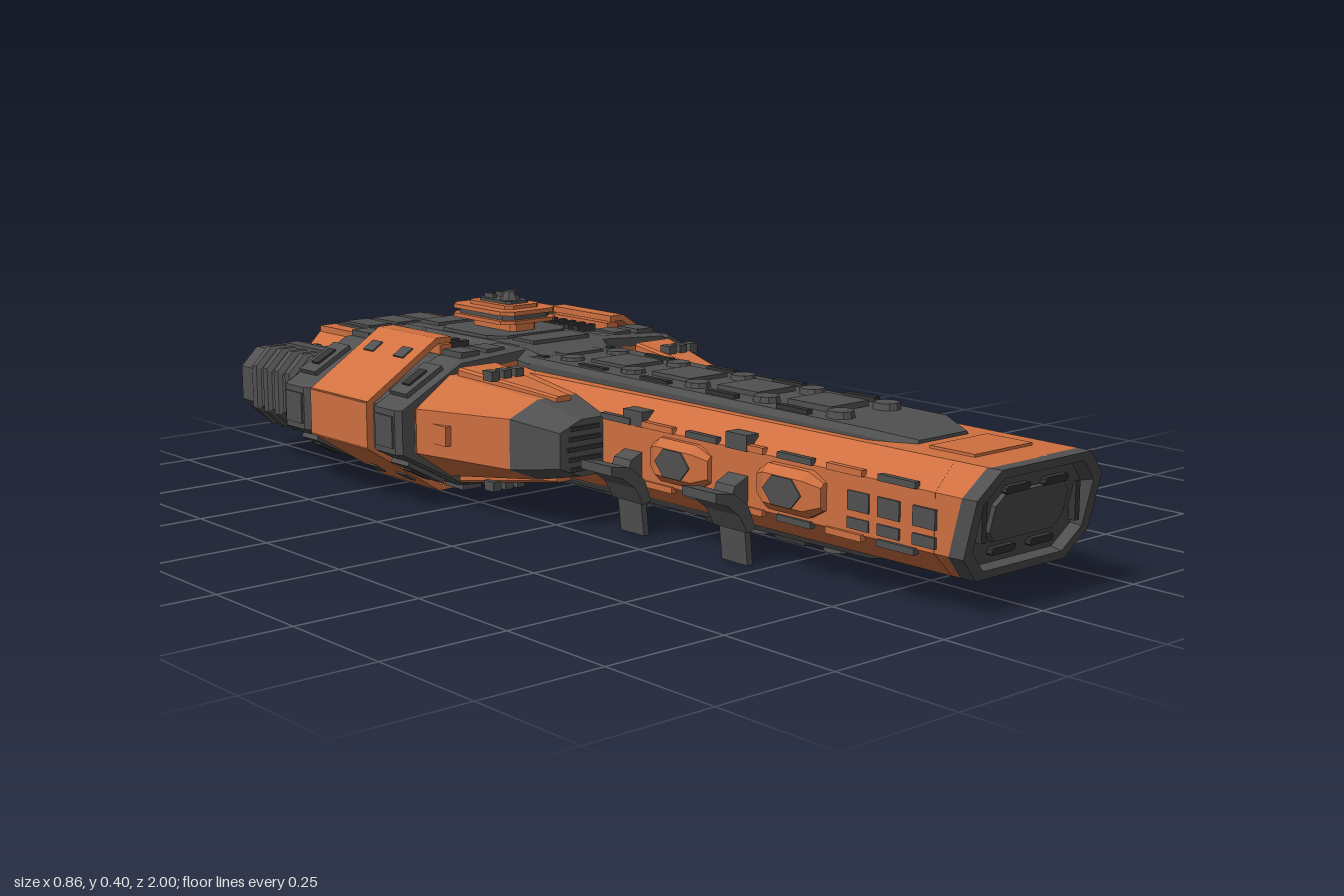
import * as THREE from 'three';

const ORANGE = 0xcf7040, DARK = 0x505050, BLACK = 0x343434;
const MID = 0.16; // height of the ship's horizontal mirror plane

export function createModel() {
  const ship = new THREE.Group();
  ship.name = 'spaceship';
  const mats = {};
  const mat = c => mats[c] ??= new THREE.MeshStandardMaterial({ color: c, flatShading: true });

  function add(name, color, geo) {
    const m = new THREE.Mesh(geo, mat(color));
    m.name = name;
    ship.add(m);
    return m;
  }
  // adds a part and its mirror image across x = 0
  function pair(name, color, geo) {
    const g = geo.index ? geo.toNonIndexed() : geo;
    const p = g.attributes.position, out = [];
    for (let i = 0; i < p.count; i += 3)
      for (const k of [i, i + 2, i + 1]) out.push(-p.getX(k), p.getY(k), p.getZ(k));
    const m = new THREE.BufferGeometry();
    m.setAttribute('position', new THREE.Float32BufferAttribute(out, 3));
    m.computeVertexNormals();
    add(name + 'Left', color, g);
    add(name + 'Right', color, m);
  }
  const box = (x, y, z, w, h, d) => new THREE.BoxGeometry(w, h, d).translate(x, y, z);
  // right half (bottom to top) -> full symmetric cross-section
  const sym = r => [...r, ...r.map(([x, y]) => [-x, y]).reverse()];
  const flipY = r => r.map(([x, y]) => [x, 2 * MID - y]).reverse();
  const oct = (w, h, cx, cy, c) => [[c, -h], [w, -h + c], [w, h - c], [w - c, h], [c - w, h], [-w, h - c], [-w, c - h], [c - w, -h]]
    .map(([x, y], i) => [cx + (i === 0 ? w - c : x), cy + y]);
  // skin through convex cross-sections [z, points], back to front; rake leans it with height
  function loft(sections, rake = 0) {
    const S = sections.map(([z, pts]) => pts.map(([x, y]) => [x, y, z + rake * (y - 0.26)]));
    const v = [], n = S[0].length, last = S.length - 1;
    for (let i = 0; i < last; i++)
      for (let k = 0; k < n; k++) {
        const a = S[i][k], b = S[i][(k + 1) % n], c = S[i + 1][(k + 1) % n], d = S[i + 1][k];
        v.push(...a, ...b, ...c, ...a, ...c, ...d);
      }
    for (let k = 1; k < n - 1; k++) {
      v.push(...S[0][0], ...S[0][k + 1], ...S[0][k]);
      v.push(...S[last][0], ...S[last][k], ...S[last][k + 1]);
    }
    const g = new THREE.BufferGeometry();
    g.setAttribute('position', new THREE.Float32BufferAttribute(v, 3));
    g.computeVertexNormals();
    return g;
  }
  const extrude = (pts, z0, z1) => new THREE.ExtrudeGeometry(
    new THREE.Shape(pts.map(p => new THREE.Vector2(...p))), { depth: z1 - z0, bevelEnabled: false }).translate(0, 0, z0);

  // main hull and nose with a recessed face
  const hullOct = w => oct(w, 0.099, 0, 0.159, 0.047);
  add('hull', ORANGE, loft([[-1, hullOct(0.19)], [-0.28, hullOct(0.19)], [0.2, hullOct(0.177)], [0.9, hullOct(0.166)]]));
  add('noseSection', ORANGE, loft([[0.88, hullOct(0.166)], [0.975, hullOct(0.165)]], 0.25));
  add('noseRim', DARK, loft([[0.97, hullOct(0.166)], [1, hullOct(0.163)], [1, oct(0.143, 0.083, 0, 0.159, 0.04)],
    [0.98, oct(0.135, 0.077, 0, 0.159, 0.038)]], 0.25));
  add('nosePanel', DARK, loft([[0.97, oct(0.1, 0.047, 0, 0.165, 0.02)], [0.988, oct(0.095, 0.043, 0, 0.165, 0.02)]], 0.25));
  for (const y of [0.215, 0.105]) pair('noseLatch', BLACK, loft([[0.97, oct(0.03, 0.007, 0.05, y, 0.003)], [0.992, oct(0.03, 0.007, 0.05, y, 0.003)]], 0.25));
  pair('noseSideLatch', BLACK, box(0.122, 0.165, 0.962, 0.012, 0.07, 0.015));
  add('noseHatch', ORANGE, box(0, 0.259, 0.855, 0.15, 0.008, 0.1));

  // long dark spines above and below
  const spine = (w, y) => [[w + 0.008, 0.24], [w + 0.008, y - 0.012], [w, y]];
  const spineSections = [[-0.28, 0.108, 0.283], [0.69, 0.097, 0.276], [0.77, 0.062, 0.264]];
  const deck = (w, y) => [[w, 0.2], [w, y - 0.02], [w - 0.025, y]];
  const deckSections = [[-0.8, 0.115, 0.27], [-0.71, 0.135, 0.3], [-0.3, 0.135, 0.302], [-0.24, 0.11, 0.283]];
  for (const [side, f] of [['upper', r => r], ['lower', flipY]]) {
    add(side + 'Spine', DARK, loft(spineSections.map(([z, w, y]) => [z, sym(f(spine(w, y)))])));
    add(side + 'Deck', DARK, loft(deckSections.map(([z, w, y]) => [z, sym(f(deck(w, y)))])));
    const yy = y => f([[0, y]])[0][1];
    // spine hatches, round ports and clamps
    for (let i = 0; i < 5; i++) {
      const z = 0.58 - i * 0.19;
      add(side + 'SpineHatch', DARK, box(0, yy(0.281), z - 0.09, 0.1, 0.014, 0.11));
      pair(side + 'SpinePort', DARK, new THREE.CylinderGeometry(0.024, 0.028, 0.016, 10).translate(0.06, yy(0.281), z));
      pair(side + 'SpineClamp', BLACK, box(0.088, yy(0.28), z - 0.09, 0.014, 0.012, 0.08));
    }
    // rear engine deck cover
    add(side + 'RearFrame', ORANGE, box(0, yy(0.26), -0.9, 0.3, 0.014, 0.19));
    add(side + 'RearPanel', DARK, box(0, yy(0.266), -0.91, 0.23, 0.012, 0.13));
    for (const x of [-0.075, 0, 0.075]) add(side + 'RearPanelSlat', DARK, box(x, yy(0.272), -0.91, 0.06, 0.01, 0.1));
  }

  // side blisters with dark windows, and the window rows
  for (const z of [0.575, 0.285]) {
    pair('sideBlister', ORANGE, loft([[z - 0.08, oct(0.02, 0.025, 0.165, 0.16, 0.008)], [z - 0.05, oct(0.035, 0.042, 0.165, 0.16, 0.015)],
      [z + 0.05, oct(0.035, 0.042, 0.165, 0.16, 0.015)], [z + 0.08, oct(0.02, 0.025, 0.165, 0.16, 0.008)]]));
    pair('blisterWindow', DARK, new THREE.CylinderGeometry(0.034, 0.034, 0.006, 6).rotateX(Math.PI / 2)
      .rotateZ(Math.PI / 2).rotateY(Math.PI / 2).scale(1, 0.9, 1.4).translate(0.2, 0.16, z));
  }
  for (const z of [0.88, 0.8, 0.73]) for (const y of [0.165, 0.125])
    pair('sideWindow', DARK, box(0.165, y, z, 0.012, y > 0.15 ? 0.035 : 0.02, 0.05));
  for (const y of [0.217, 0.103]) for (let i = 0; i < 7; i++)
    pair('sideRail', i % 2 ? ORANGE : DARK, box(0.168 + 0.0015 * i, y, 0.82 - i * 0.12, 0.012, 0.012, 0.085));

  // curved landing claws
  for (const z of [0.435, 0.148]) {
    pair('clawArm', DARK, extrude([[0.16, 0.11], [0.22, 0.11], [0.205, 0.15], [0.16, 0.17]], z - 0.025, z + 0.025));
    pair('clawUpper', DARK, extrude([[0.27, 0.15], [0.225, 0.142], [0.19, 0.115], [0.172, 0.07], [0.192, 0.065], [0.212, 0.1], [0.24, 0.122], [0.27, 0.132]], z - 0.045, z + 0.045));
    pair('clawTip', DARK, extrude([[0.176, 0.08], [0.168, 0], [0.181, 0], [0.19, 0.08]], z - 0.034, z + 0.034));
    pair('clawMount', DARK, box(0.165, 0.225, z, 0.03, 0.03, 0.055));
  }

  // wide middle body and the two octagonal bands
  const ring = (w, s) => sym([[0.12, 0.02 + s], [0.27, 0.03 + s], [w, 0.115], [w, 0.205], [0.27, 0.29 - s], [0.12, 0.3 - s]]);
  add('midBody', ORANGE, loft([[-0.735, ring(0.385, 0.02)], [-0.28, ring(0.385, 0.025)]]));
  add('midCore', DARK, loft([[-0.63, ring(0.41, 0.008)], [-0.37, ring(0.41, 0.008)]]));
  for (const z of [-0.665, -0.328]) {
    add('band', DARK, loft([[z - 0.047, ring(0.415, 0.006)], [z - 0.035, ring(0.425, 0)], [z + 0.035, ring(0.425, 0)], [z + 0.047, ring(0.415, 0.006)]]));
    for (const y of [0.295, 0.025]) {
      add('bandCap', DARK, box(0, y > 0.1 ? 0.302 : 0.018, z, 0.15, 0.012, 0.07));
      for (const x of [0.17, 0.235]) pair('bandBlock', DARK, box(x, y, z, 0.045, 0.016, 0.065));
    }
    for (const s of [1, -1]) {
      const g = new THREE.BoxGeometry(0.1, 0.018, 0.06).rotateZ(-s * 0.502).translate(0.345, MID + s * 0.09, z);
      pair('bandSlopeBlock', DARK, g);
      pair('bandSlopeVent', BLACK, new THREE.BoxGeometry(0.05, 0.008, 0.025).rotateZ(-s * 0.502).translate(0.35, MID + s * 0.098, z));
    }
    pair('bandSideBlock', DARK, box(0.424, 0.16, z, 0.01, 0.065, 0.06));
  }

  // orange armour shells over the waist
  const shell = [[0.215, 0.308], [0.248, 0.308], [0.415, 0.2], [0.428, 0.207], [0.252, 0.321], [0.215, 0.321]];
  pair('upperArmour', ORANGE, extrude(shell, -0.6, -0.39));
  pair('lowerArmour', ORANGE, extrude(flipY(shell), -0.6, -0.39));
  pair('sideArmour', ORANGE, box(0.416, 0.16, -0.495, 0.022, 0.1, 0.21));
  for (const y of [0.295, 0.025]) {
    pair('armourInnerFrame', ORANGE, box(0.225, y, -0.495, 0.03, 0.02, 0.2));
    for (let i = 0; i < 5; i++) pair('waistRib', BLACK, box(0.172, y, -0.56 + i * 0.033, 0.05, 0.014, 0.016));
  }
  for (const z of [-0.55, -0.44]) for (const s of [1, -1])
    pair('armourSlot', DARK, new THREE.BoxGeometry(0.03, 0.008, 0.035).rotateZ(-s * 0.575).translate(0.3, MID + s * 0.129, z));

  // tapered shoulder pods with dark tips and louvred fronts
  const pod = (o, t, h1, h2) => [[0.12, MID - h2], [t, MID - h2], [o, MID - h1], [o, MID + h1], [t, MID + h2], [0.12, MID + h2]];
  const podMid = pod(0.32, 0.25, 0.05, 0.08);
  pair('shoulderPod', ORANGE, loft([[-0.29, pod(0.385, 0.3, 0.045, 0.105)], [-0.055, podMid]]));
  const tip = pod(0.287, 0.235, 0.035, 0.056);
  pair('podTip', DARK, loft([[-0.055, podMid], [0.06, tip]]));
  for (let i = 0; i < 5; i++) pair('podLouvre', BLACK, box(0.228, 0.12 + i * 0.02, 0.06, 0.085 - Math.abs(i - 2) * 0.008, 0.008, 0.012));
  for (const s of [1, -1]) {
    pair('podRidge', ORANGE, loft([[-0.27, oct(0.05, 0.012, 0.235, MID + s * 0.107, 0.005)], [-0.03, oct(0.018, 0.008, 0.205, MID + s * 0.078, 0.004)]]));
    for (const x of [0.205, 0.235, 0.265]) pair('podVent', DARK, box(x, MID + s * 0.112, -0.185, 0.02, 0.02, 0.03));
  }
  pair('podSideHatch', ORANGE, box(0.365, 0.16, -0.22, 0.014, 0.04, 0.05));

  // ribbed engines with three nozzles each
  const eng = (w, h) => oct(w, h, 0.283, MID, 0.04);
  const ribs = [[-0.965, eng(0.06, 0.06)], [-0.99, eng(0.068, 0.068)], [-0.99, eng(0.079, 0.077)], [-0.945, eng(0.08, 0.078)], [-0.93, eng(0.088, 0.086)]];
  for (let i = 0; i < 4; i++) {
    const z = -0.9 + i * 0.045;
    ribs.push([z - 0.008, eng(0.09, 0.088)], [z, eng(0.083, 0.081)], [z + 0.012, eng(0.083, 0.081)], [z + 0.02, eng(0.09, 0.088)]);
  }
  pair('engine', DARK, loft([...ribs, [-0.7, eng(0.088, 0.086)]]));
  for (let i = 0; i < 3; i++) {
    const a = Math.PI / 2 + i * Math.PI * 2 / 3;
    const profile = [[0.001, 0.01], [0.02, 0.01], [0.026, 0.05], [0.031, 0.05], [0.031, 0]].map(p => new THREE.Vector2(...p)).reverse();
    pair('nozzle', DARK, new THREE.LatheGeometry(profile, 12).rotateX(-Math.PI / 2).translate(0.283 + 0.037 * Math.cos(a), MID + 0.037 * Math.sin(a), -0.95));
  }
  for (const s of [1, -1]) pair('engineSpar', DARK, box(0.283, MID + s * 0.088, -0.83, 0.03, 0.012, 0.15));

  // stern plate details
  add('sternVent', DARK, loft([[-1, oct(0.075, 0.03, 0, MID, 0.028)], [-0.98, oct(0.075, 0.03, 0, MID, 0.028)]]));
  for (const y of [0.215, 0.105]) add('sternSlot', DARK, box(0, y, -0.995, 0.12, 0.014, 0.01));
  pair('sternPort', DARK, loft([[-1, oct(0.022, 0.035, 0.135, MID, 0.018)], [-0.98, oct(0.022, 0.035, 0.135, MID, 0.018)]]));

  // command tower, stacked from the deck up: colour, half width, half length, bottom, top
  const tower = [[DARK, 0.105, 0.11, 0.295, 0.308], [ORANGE, 0.034, 0.075, 0.305, 0.332], [ORANGE, 0.073, 0.105, 0.328, 0.336],
    [DARK, 0.062, 0.095, 0.336, 0.347], [ORANGE, 0.073, 0.105, 0.347, 0.356], [ORANGE, 0.045, 0.075, 0.356, 0.364], [DARK, 0.03, 0.055, 0.362, 0.37]];
  for (const [c, w, d, y0, y1] of tower) {
    const k = w * 0.3;
    const pts = [[w, k - d], [w, d - k], [w - k, d], [k - w, d], [-w, d - k], [-w, k - d], [k - w, -d], [w - k, -d]];
    add('towerTier', c, extrude(pts, 0, y1 - y0).rotateX(-Math.PI / 2).translate(0, y0, -0.492));
  }
  add('towerTurret', DARK, new THREE.CylinderGeometry(0.013, 0.024, 0.022, 8).translate(0, 0.378, -0.47));
  add('towerMast', DARK, box(0, 0.39, -0.45, 0.004, 0.02, 0.004));
  pair('towerSensor', DARK, box(0.015, 0.374, -0.52, 0.01, 0.012, 0.03));
  return ship;
}
